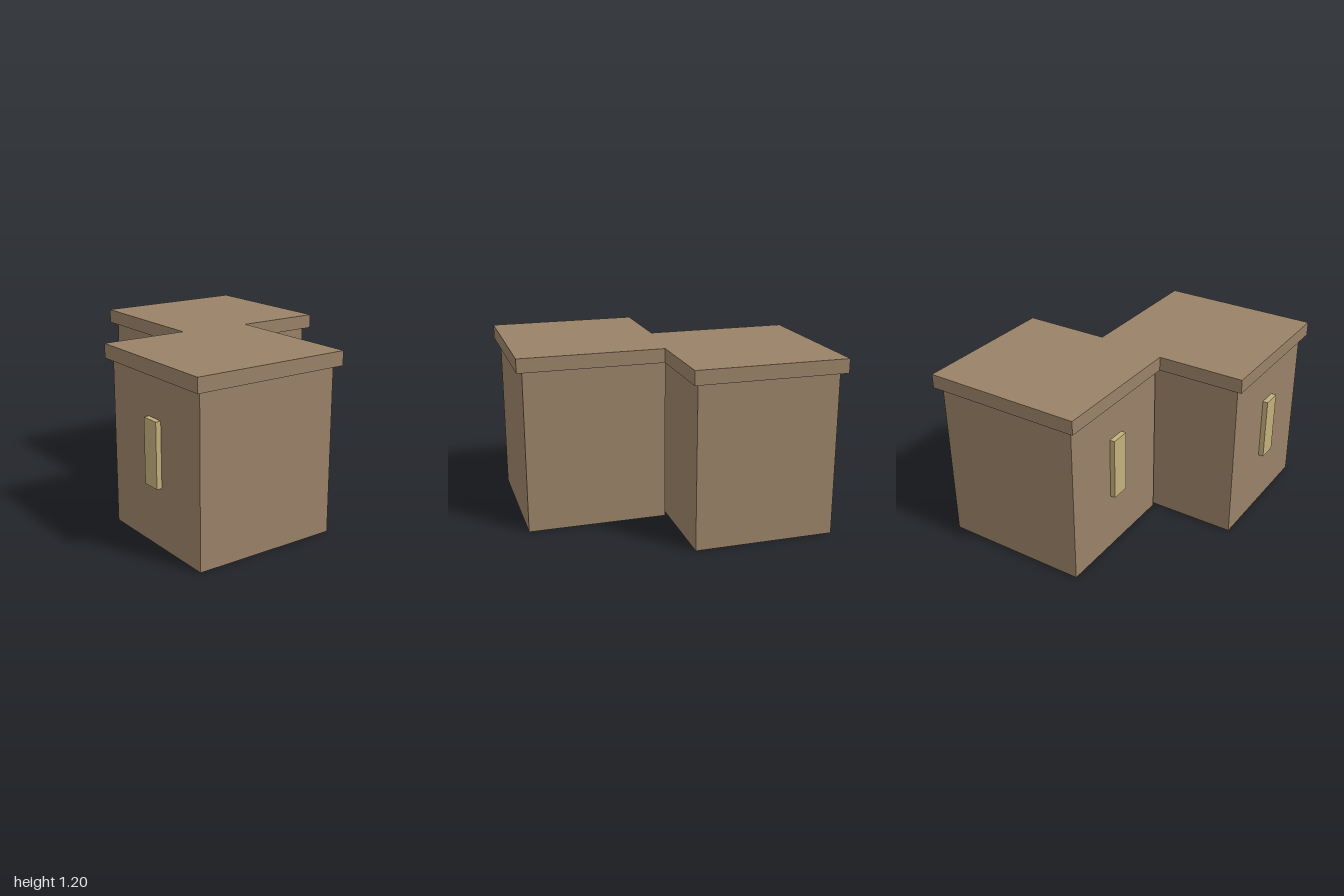
import * as THREE from 'three';

export function createModel() {
  const model = new THREE.Group();
  const wall = new THREE.MeshStandardMaterial({ color: 0x9a8268 });
  wall.name = 'brownWall';
  const pane = new THREE.MeshStandardMaterial({ color: 0xc4b07c });
  pane.name = 'paleYellowWindow';

  const box = (name, size, position, material) => {
    const mesh = new THREE.Mesh(new THREE.BoxGeometry(...size), material);
    mesh.name = name;
    mesh.position.set(...position);
    model.add(mesh);
  };

  // Two staggered blocks, each with a raised window on its front
  for (const [side, s] of [['left', 1], ['right', -1]]) {
    const z = s * 0.298;
    box(side + 'Block', [0.95, 1.105, 0.996], [s * 0.485, 0.5525, z], wall);
    box(side + 'Window', [0.133, 0.43, 0.04], [s * 0.487, 0.613, z + 0.513], pane);
  }

  // One stepped roof slab overhanging both blocks (shape y becomes -z)
  const half = [[-0.025, -0.837], [1, -0.837], [1, 0.243], [0.025, 0.243]];
  const outline = [...half, ...half.map(([x, y]) => [-x, -y])];
  const shape = new THREE.Shape(outline.map(([x, y]) => new THREE.Vector2(x, y)));
  const slab = new THREE.ExtrudeGeometry(shape, { depth: 0.095, bevelEnabled: false });
  slab.rotateX(-Math.PI / 2);
  const roof = new THREE.Mesh(slab, wall);
  roof.name = 'roof';
  roof.position.y = 1.105;
  model.add(roof);

  return model;
}
